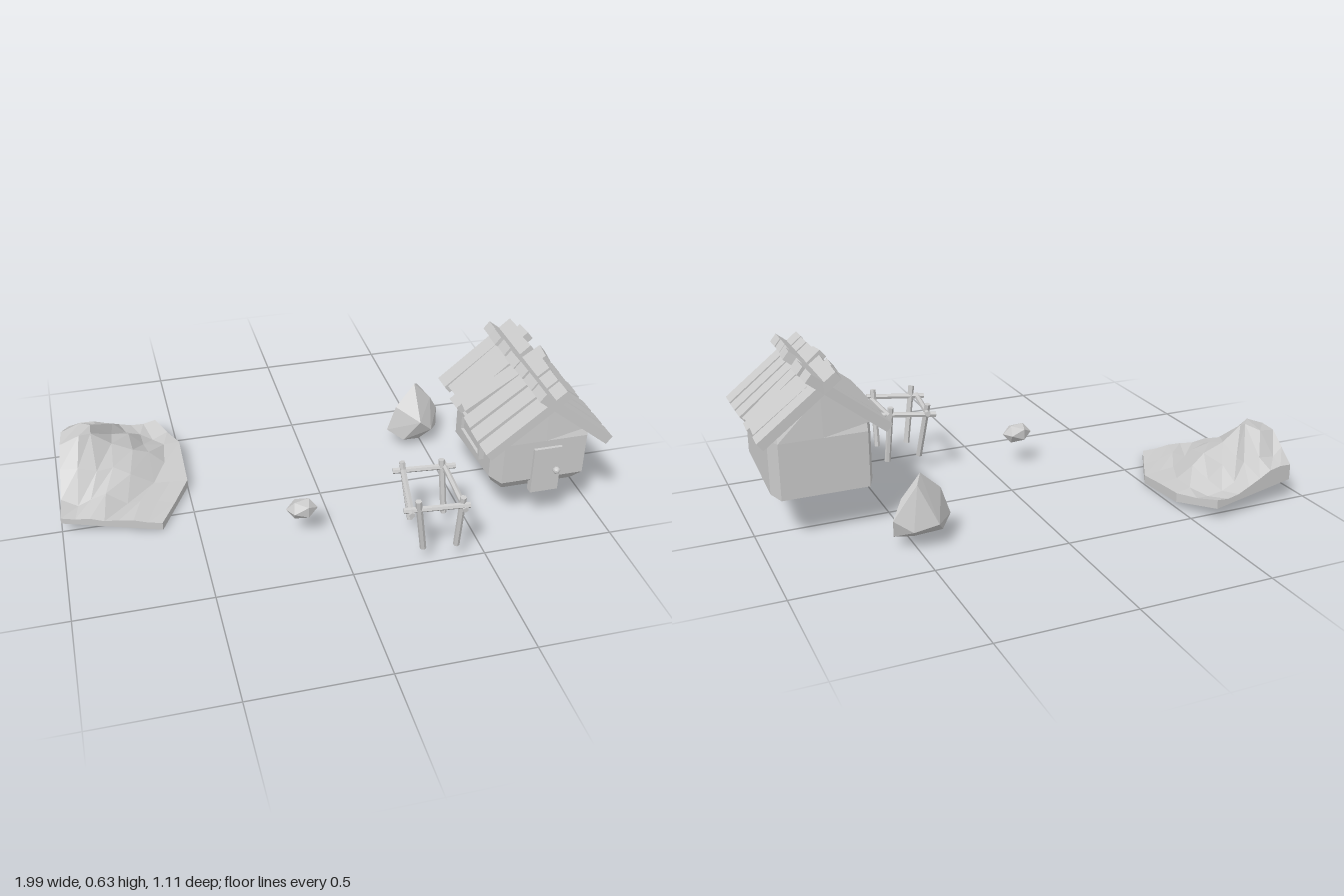
import * as THREE from 'three';
import { ConvexGeometry } from 'three/addons/geometries/ConvexGeometry.js';

const material = new THREE.MeshStandardMaterial({ color: 0xcccccc, flatShading: true });
const V = (x, y, z) => new THREE.Vector3(x, y, z);

function add(parent, name, geometry, x = 0, y = 0, z = 0) {
  const mesh = new THREE.Mesh(geometry, material);
  mesh.name = name;
  mesh.position.set(x, y, z);
  parent.add(mesh);
  return mesh;
}

function group(parent, name) {
  const g = new THREE.Group();
  g.name = name;
  parent.add(g);
  return g;
}

// Round bar between two points
function bar(parent, name, a, b, radius) {
  const mesh = add(parent, name, new THREE.CylinderGeometry(radius, radius, a.distanceTo(b), 6));
  mesh.position.copy(a).lerp(b, 0.5);
  mesh.quaternion.setFromUnitVectors(V(0, 1, 0), b.clone().sub(a).normalize());
}

// Repeatable value from -0.5 to 0.5 for a grid point
function noise(i, j, k) {
  const n = Math.sin(i * 127.1 + j * 311.7 + k * 74.7) * 43758.5;
  return n - Math.floor(n) - 0.5;
}

// House walls: a corner-cut plan lofted from an inset base up to the gable line
function wallGeometry() {
  const cx = 0.755, cz = 0.135;
  const half = [[0, 0.24], [0.16, 0.24], [0.185, 0.175], [0.185, -0.18], [0.16, -0.24], [0, -0.24]];
  const plan = [...half, ...half.slice(1, 5).reverse().map(([x, z]) => [-x, z])];
  const n = plan.length;
  const rings = [
    plan.map(([x, z]) => [cx + x * 0.86, 0.163, cz + z * 0.82]),
    plan.map(([x, z]) => [cx + x, 0.18 + 0.095 * (cz + z), cz + z]),
    plan.map(([x, z]) => [cx + x, 0.38, cz + z]),
    plan.map(([x, z]) => [cx + x, 0.535 - 0.79 * Math.abs(x), cz + z * 0.96]),
  ];
  const index = [];
  for (let r = 0; r < rings.length - 1; r++) {
    for (let i = 0; i < n; i++) {
      const a = r * n + i, b = r * n + (i + 1) % n;
      index.push(a, b, b + n, a, b + n, a + n);
    }
  }
  for (let i = 1; i < n - 1; i++) index.push(0, i + 1, i);
  const top = 3 * n;
  for (const s of [0, 5]) {
    for (let i = 1; i < 5; i++) index.push(top + s, top + s + i, top + (s + i + 1) % n);
  }
  const geometry = new THREE.BufferGeometry();
  geometry.setAttribute('position', new THREE.Float32BufferAttribute(rings.flat(2), 3));
  geometry.setIndex(index);
  const flat = geometry.toNonIndexed();
  flat.computeVertexNormals();
  return flat;
}

function buildHouse(root) {
  const house = group(root, 'house');
  add(house, 'walls', wallGeometry());

  // Door with round knob
  add(house, 'door', new THREE.BoxGeometry(0.108, 0.19, 0.03), 0.763, 0.257, 0.372);
  add(house, 'doorKnob', new THREE.IcosahedronGeometry(0.014, 1), 0.8, 0.255, 0.395);

  // Framed window on one side wall
  const frame = group(house, 'window');
  add(frame, 'windowPane', new THREE.BoxGeometry(0.012, 0.07, 0.19), 0.568, 0.29, 0.145);
  for (const s of [-1, 1]) {
    add(frame, 'windowRail', new THREE.BoxGeometry(0.03, 0.016, 0.21), 0.565, 0.29 + s * 0.037, 0.145);
    add(frame, 'windowStile', new THREE.BoxGeometry(0.03, 0.08, 0.016), 0.565, 0.29, 0.145 + s * 0.097);
  }

  // Roof planks crossing at the ridge
  const roof = group(house, 'roof');
  const slope = 0.668;
  const centres = [0.39, 0.305, 0.22, 0.14, 0.065, -0.005, -0.08];
  const yaws = [0, 0.02, 0.03, 0.11, -0.05, -0.06, -0.03];
  const slides = [0, 0, 0.004, 0.025, 0, 0.022, 0.006];
  for (const s of [-1, 1]) {
    centres.forEach((z, i) => {
      const slide = slides[i] * (s < 0 ? 1 : 0.5);
      const plank = add(roof, 'roofPlank', new THREE.BoxGeometry(0.36, 0.036, 0.072),
        0.745 + s * (0.091 - slide * Math.cos(slope)), 0.491 + slide * Math.sin(slope), z);
      plank.rotation.set(0, s * yaws[i], -s * slope, 'ZYX');
    });
  }
}

function buildRack(root) {
  const rack = group(root, 'rack');
  // Leaning posts, top then foot
  const posts = [
    [V(0.225, 0.305, 0.515), V(0.262, 0.07, 0.49)],
    [V(0.385, 0.305, 0.53), V(0.385, 0.07, 0.5)],
    [V(0.24, 0.305, 0.275), V(0.265, 0.075, 0.325)],
    [V(0.385, 0.305, 0.295), V(0.4, 0.075, 0.315)],
  ];
  for (const [a, b] of posts) bar(rack, 'post', a, b, 0.012);
  // Rails tying the posts together
  const rails = [
    [V(0.178, 0.26, 0.5), V(0.41, 0.275, 0.54)],
    [V(0.21, 0.262, 0.265), V(0.437, 0.278, 0.307)],
    [V(0.25, 0.275, 0.245), V(0.2, 0.258, 0.53)],
    [V(0.398, 0.278, 0.27), V(0.39, 0.262, 0.55)],
  ];
  for (const [a, b] of rails) bar(rack, 'rail', a, b, 0.011);
}

// Rocky mound: a subdivided box reshaped to a tilted outline with a peak
function buildMound(root) {
  const nu = 7, nv = 6;
  const left = [[-1, 0.01], [-0.98, -0.17], [-0.96, -0.34], [-0.93, -0.5]];
  const right = [[-0.63, 0.08], [-0.5, -0.16], [-0.497, -0.4], [-0.575, -0.555]];
  const along = (side, t, k) => {
    const s = Math.min(2, Math.floor(t * 3)), f = t * 3 - s;
    return side[s][k] * (1 - f) + side[s + 1][k] * f;
  };
  const cone = (x, z, px, pz, r) => Math.max(0, 1 - Math.hypot(x - px, z - pz) / r);
  const geometry = new THREE.BoxGeometry(1, 1, 1, nu, 1, nv);
  const p = geometry.attributes.position;
  for (let n = 0; n < p.count; n++) {
    const i = Math.round((p.getX(n) + 0.5) * nu), j = Math.round((0.5 - p.getZ(n)) * nv);
    const isTop = p.getY(n) > 0, u = i / nu, v = j / nv;
    const inner = isTop && i > 0 && i < nu && j > 0 && j < nv;
    let x = along(left, v, 0) * (1 - u) + along(right, v, 0) * u;
    let z = along(left, v, 1) * (1 - u) + along(right, v, 1) * u;
    if (inner) {
      x += 0.03 * noise(i, j, 1);
      z += 0.04 * noise(i, j, 2);
    }
    let y = -0.0575 - 0.11 * x - 0.085 * z;
    if (isTop) {
      y += 0.03 + 0.14 * cone(x, z, -0.845, -0.31, 0.27) + 0.07 * cone(x, z, -0.95, -0.25, 0.2);
      y += (inner ? 0.04 : 0.015) * noise(i, j, 3);
      if (i === 2 && j === 4) [x, y, z] = [-0.845, 0.26, -0.315];
    }
    p.setXYZ(n, x, y, z);
  }
  const flat = geometry.toNonIndexed();
  flat.computeVertexNormals();
  add(root, 'mound', flat);
}

function buildRocks(root) {
  // Pointed boulder
  add(root, 'boulder', new ConvexGeometry([
    V(0.47, 0.272, -0.285), V(0.495, 0.245, -0.325), V(0.385, 0.19, -0.255), V(0.35, 0.085, -0.255),
    V(0.545, 0.19, -0.295), V(0.583, 0.12, -0.315), V(0.575, 0.05, -0.29), V(0.49, 0.02, -0.255),
    V(0.41, 0.05, -0.215), V(0.47, 0.145, -0.183), V(0.525, 0.09, -0.205), V(0.43, 0.1, -0.362),
    V(0.52, 0.08, -0.35), V(0.4, 0.055, -0.31),
  ]));

  // Small faceted stone
  const stone = new THREE.IcosahedronGeometry(1, 0);
  stone.rotateY(0.4);
  stone.scale(0.06, 0.042, 0.042);
  add(root, 'stone', stone, -0.13, 0.138, 0.245);
}

export function createModel() {
  const model = new THREE.Group();
  model.name = 'campsite';
  buildHouse(model);
  buildRack(model);
  buildMound(model);
  buildRocks(model);
  return model;
}
